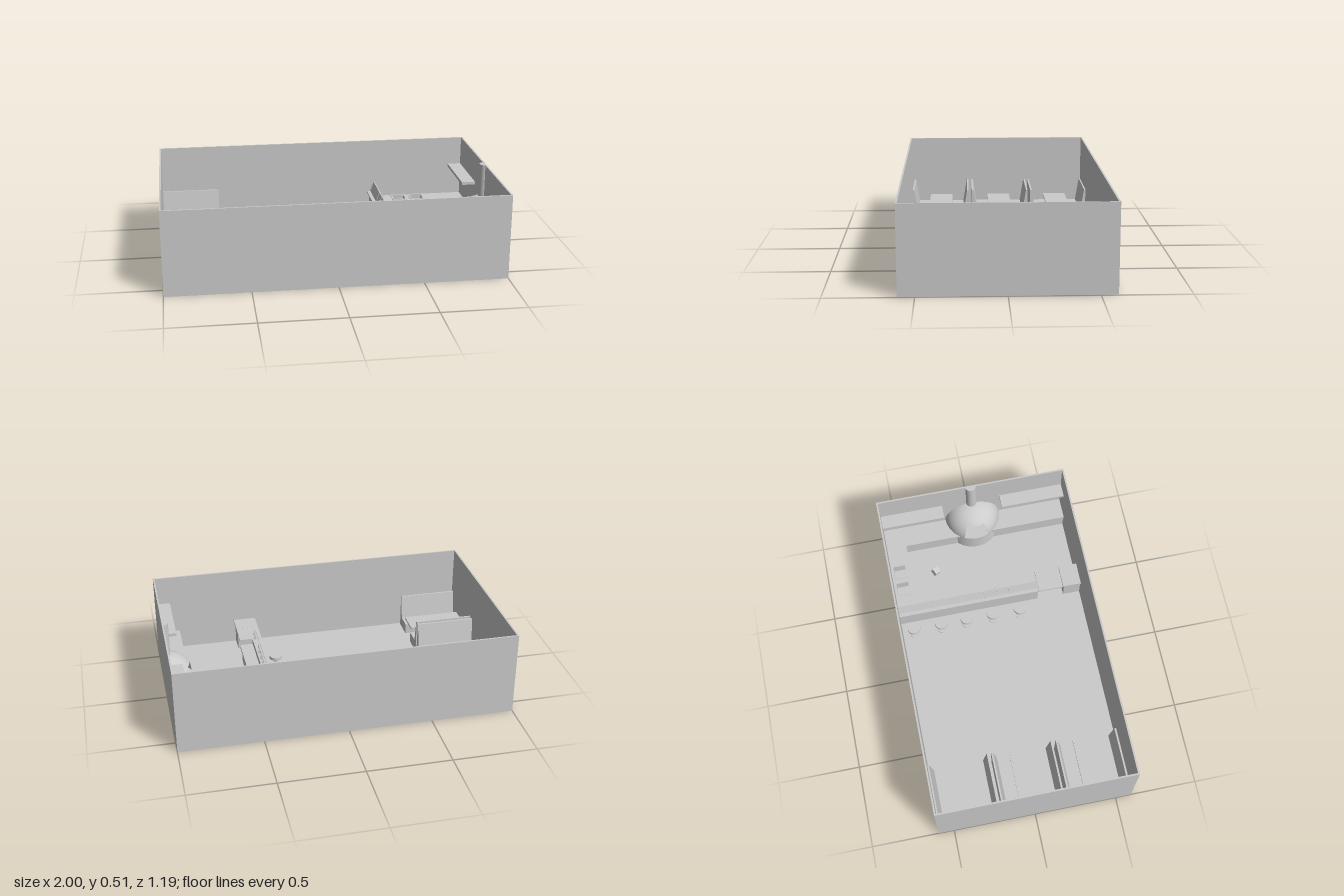
import * as THREE from 'three';

export function createModel() {
  const root = new THREE.Group();
  const mat = new THREE.MeshStandardMaterial({ color: 0xcccccc });
  const thin = new THREE.MeshStandardMaterial({ color: 0xcccccc, side: THREE.DoubleSide });

  const add = (name, geo, parent = root, m = mat) => {
    const mesh = new THREE.Mesh(geo, m);
    mesh.name = name;
    parent.add(mesh);
    return mesh;
  };
  // box from its minimum and maximum corners
  const box = (name, x0, x1, y0, y1, z0, z1, parent = root) => {
    const b = add(name, new THREE.BoxGeometry(x1 - x0, y1 - y0, z1 - z0), parent);
    b.position.set((x0 + x1) / 2, (y0 + y1) / 2, (z0 + z1) / 2);
    return b;
  };
  const poly = (pts) => new THREE.Shape(pts.map(([x, y]) => new THREE.Vector2(x, y)));
  const extrude = (shape, depth) =>
    new THREE.ExtrudeGeometry(shape, { depth, bevelEnabled: false });
  const group = (name) => {
    const g = new THREE.Group();
    g.name = name;
    root.add(g);
    return g;
  };

  // room shell, open on top
  box('floor', -1, 0.99, 0, 0.01, -0.595, 0.595);
  box('frontWall', -1, 1, 0.01, 0.515, 0.585, 0.595);
  box('backWall', -1, 1, 0.01, 0.515, -0.595, -0.585);
  box('leftWall', 0.99, 1, 0.01, 0.515, -0.585, 0.585);
  box('rightWall', -1, -0.99, 0.01, 0.515, -0.585, 0.585);

  // booths: two facing benches with sloped backs and a table between
  const benchProfile = poly([[0.055, 0.01], [0.055, 0.075], [0.152, 0.075],
    [0.176, 0.223], [0.187, 0.223], [0.187, 0.01]]);
  for (const z of [-0.4, -0.01, 0.385]) {
    const booth = group('booth');
    booth.position.z = z;
    for (const side of [1, -1]) {
      const bench = add('bench', extrude(benchProfile, 0.36), booth);
      // the profile's x runs along -z or +z, its depth along x
      bench.rotation.y = side * Math.PI / 2;
      bench.position.x = side > 0 ? -0.99 : -0.63;
    }
    box('tableTop', -0.985, -0.63, 0.108, 0.12, -0.075, 0.075, booth);
    box('tableLeg', -0.83, -0.8, 0.01, 0.108, -0.015, 0.015, booth);
  }

  // bar stools
  for (const z of [-0.51, -0.335, -0.17, 0, 0.175]) {
    const stool = group('stool');
    stool.position.set(0.295, 0, z);
    for (const [name, r, y0, y1] of [['stoolSeat', 0.04, 0.09, 0.108],
      ['stoolPost', 0.01, 0.016, 0.09], ['stoolBase', 0.03, 0.01, 0.016]]) {
      const part = add(name, new THREE.CylinderGeometry(r, r, y1 - y0, 24), stool);
      part.position.y = (y0 + y1) / 2;
    }
  }

  // U-shaped kitchen counter; sink openings are cut through
  const sinks = [[0.565, -0.53], [0.683, -0.53]];
  const square = (x, z, h) => poly([[x - h, z - h], [x + h, z - h], [x + h, z + h], [x - h, z + h]]);
  const counterShape = (inset) => {
    const s = poly([[0.42, -0.585], [0.99, -0.585], [0.99, 0.585], [0.855 + inset, 0.585],
      [0.855 + inset, -0.46 - inset], [0.5 - inset, -0.46 - inset],
      [0.5 - inset, 0.31], [0.42, 0.31]]);
    s.holes = sinks.map(([x, z]) => square(x, z, 0.038));
    return s;
  };
  // flat shape drawn in x and z, laid down with its top at y
  const lay = (name, shape, depth, top) => {
    const m = add(name, extrude(shape, depth));
    m.rotation.x = Math.PI / 2;
    m.position.y = top;
    return m;
  };
  lay('counterTop', counterShape(0), 0.018, 0.13);
  lay('counterCabinet', counterShape(0.012), 0.102, 0.112);
  for (const [x, z] of sinks) {
    const rim = square(x, z, 0.048);
    rim.holes = [square(x, z, 0.038)];
    lay('sinkRim', rim, 0.006, 0.134);
    box('sinkBottom', x - 0.038, x + 0.038, 0.06, 0.07, z - 0.038, z + 0.038);
  }

  // raised serving bar, lifting flap and end cabinet
  box('barFront', 0.375, 0.42, 0.01, 0.153, -0.585, 0.31);
  box('barLedge', 0.36, 0.42, 0.153, 0.165, -0.585, 0.31);
  box('barFlap', 0.36, 0.5, 0.153, 0.165, 0.312, 0.468);
  box('endCabinet', 0.372, 0.49, 0.01, 0.153, 0.478, 0.585);
  box('endCabinetTop', 0.36, 0.5, 0.153, 0.165, 0.47, 0.585);

  // sloped guard on the bar, with dividers
  const guard = group('barGuard');
  const panel = add('guardPanel', extrude(poly([[0.383, 0.165], [0.39, 0.165],
    [0.41, 0.23], [0.403, 0.23]]), 0.895), guard);
  panel.position.z = -0.585;
  const rib = poly([[0.38, 0.165], [0.41, 0.165], [0.413, 0.232], [0.4, 0.232]]);
  for (const z of [-0.583, -0.36, -0.275, -0.035, 0.045, 0.125, 0.304]) {
    add('guardDivider', extrude(rib, 0.006), guard).position.z = z - 0.003;
  }

  // wall shelves on both sides of the oven
  box('wallShelf', 0.905, 0.99, 0.317, 0.335, -0.585, -0.19);
  box('wallShelf', 0.905, 0.99, 0.317, 0.335, 0.182, 0.585);

  // half-dome oven against the wall with an arched mouth and a chimney
  const oven = group('oven');
  oven.position.set(0.995, 0.13, 0);
  const R = 0.176, mouth = 0.45, lip = 0.94;
  const H = Math.PI / 2;
  for (const r of [R, R - 0.018]) {
    add('ovenCap', new THREE.SphereGeometry(r, 32, 12, -H, Math.PI, 0, lip), oven, thin);
    for (const start of [-H, mouth]) {
      add('ovenSide', new THREE.SphereGeometry(r, 16, 8, start, H - mouth, lip, H - lip), oven, thin);
    }
  }
  // phi = 0 points to -x, so the half range bulges into the room
  const plinth = add('ovenPlinth', new THREE.CylinderGeometry(R, R, 0.12, 32, 1, false, Math.PI, Math.PI), oven);
  plinth.position.y = -0.06;
  const chimney = add('chimney', new THREE.CylinderGeometry(0.033, 0.033, 0.225, 24, 1, false, Math.PI, Math.PI), oven);
  chimney.position.y = 0.2725;

  // small tilted crate on the kitchen floor
  const crate = add('crate', new THREE.BoxGeometry(0.04, 0.04, 0.04));
  crate.position.set(0.685, 0.035, -0.3);
  crate.rotation.set(0.2, 0.5, 0.15);

  return root;
}
